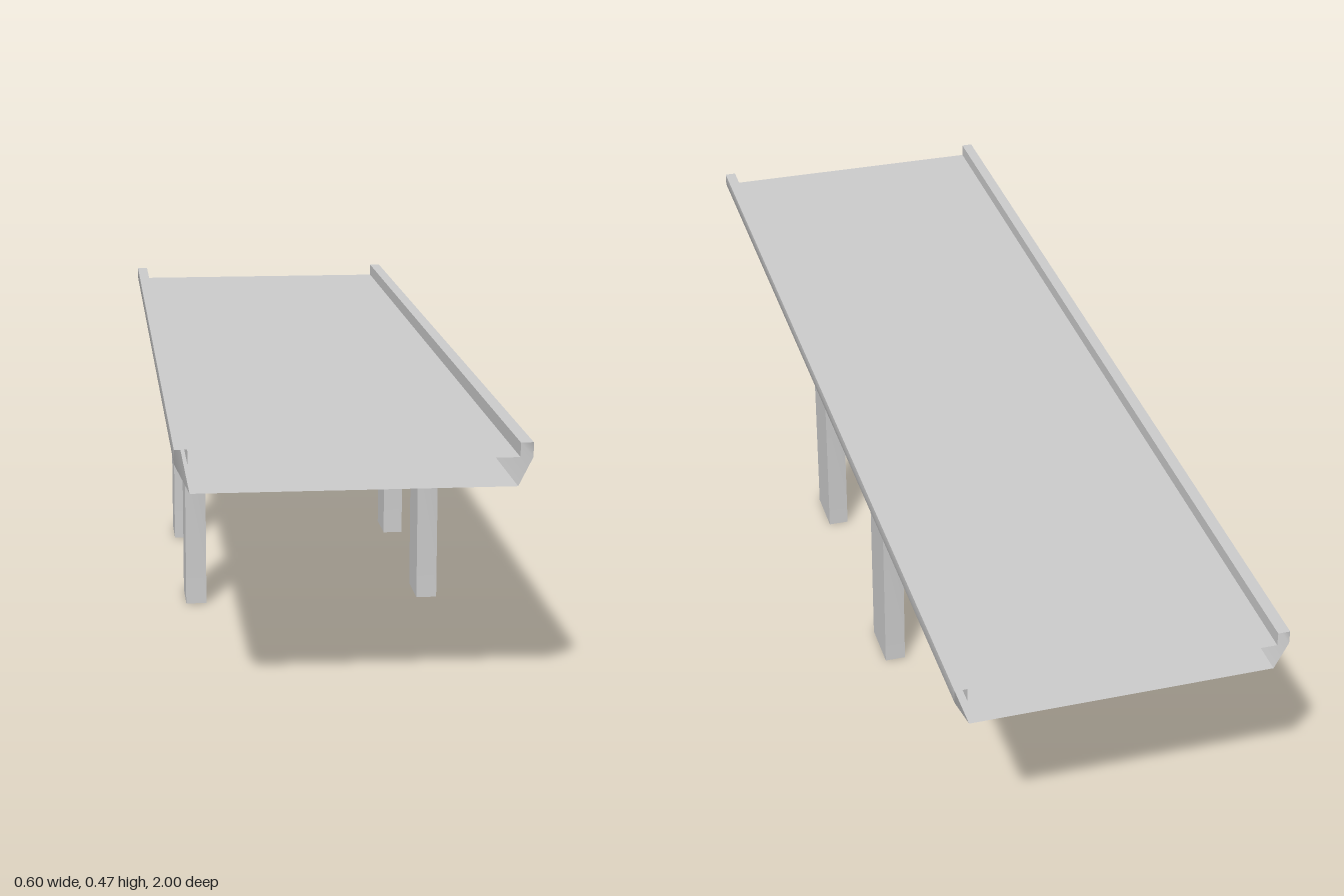
import * as THREE from 'three';

const material = new THREE.MeshStandardMaterial({ color: 0xcccccc, side: THREE.DoubleSide });

// Open band: sweeps a 2D polyline along its local z; normals are smooth along the line.
// Travelling counter-clockwise around a profile makes the band face outward.
function band(name, points, length) {
  const positions = [], index = [];
  points.forEach(([x, y], i) => {
    positions.push(x, y, length / 2, x, y, -length / 2);
    if (i > 0) {
      const a = (i - 1) * 2;
      index.push(a, a + 1, a + 2, a + 2, a + 1, a + 3);
    }
  });
  const geometry = new THREE.BufferGeometry();
  geometry.setAttribute('position', new THREE.Float32BufferAttribute(positions, 3));
  geometry.setIndex(index);
  geometry.computeVertexNormals();
  const mesh = new THREE.Mesh(geometry, material);
  mesh.name = name;
  return mesh;
}

// Mirrors a polyline in x, keeping its counter-clockwise direction
const mirror = (points) => points.map(([x, y]) => [-x, y]).reverse();

// Hollow deck with raised curbs and open ends
function createDeck() {
  const deck = new THREE.Group();
  deck.name = 'deck';
  const length = 2;
  const outer = [[0.275, 0.4], [0.3, 0.45], [0.3, 0.475]];
  const curbTop = [[0.3, 0.475], [0.278, 0.475]];
  const curbInside = [[0.278, 0.475], [0.278, 0.45]];
  deck.add(band('deckUnderside', [[-0.275, 0.4], [0.275, 0.4]], length));
  deck.add(band('deckSurface', [[0.278, 0.45], [-0.278, 0.45]], length));
  for (const [side, f] of [['left', (p) => p], ['right', mirror]]) {
    deck.add(band(side + 'OuterSide', f(outer), length));
    deck.add(band(side + 'CurbTop', f(curbTop), length));
    deck.add(band(side + 'CurbInside', f(curbInside), length));
  }
  return deck;
}

// Flared leg with a notched top and an open foot
function createLeg(name) {
  const leg = new THREE.Group();
  leg.name = name;
  const width = 0.04;
  const edge = [[0.05, 0], [0.05, 0.31], [0.067, 0.383]];
  const collar = [[0.067, 0.383], [0.067, 0.408]];
  const notch = [
    [0.067, 0.408], [0.033, 0.408], [0.033, 0.385], [0.006, 0.385], [0.006, 0.408],
    [-0.006, 0.408], [-0.006, 0.385], [-0.033, 0.385], [-0.033, 0.408], [-0.067, 0.408],
  ];
  for (const f of [(p) => p, mirror]) {
    leg.add(band('legEdge', f(edge), width));
    leg.add(band('legCollar', f(collar), width));
  }
  for (let i = 1; i < notch.length; i++) {
    leg.add(band('legNotch', [notch[i - 1], notch[i]], width));
  }
  // Flat cheeks on both sides
  const outline = [...edge, ...notch, ...mirror(edge)].map(([x, y]) => new THREE.Vector2(x, y));
  const cheek = new THREE.ShapeGeometry(new THREE.Shape(outline));
  for (const s of [1, -1]) {
    const mesh = new THREE.Mesh(cheek, material);
    mesh.name = 'legCheek';
    mesh.position.z = s * width / 2;
    if (s < 0) mesh.rotation.y = Math.PI;
    leg.add(mesh);
  }
  leg.rotation.y = Math.PI / 2;
  return leg;
}

export function createModel() {
  const model = new THREE.Group();
  model.name = 'raisedDeck';
  model.add(createDeck());
  for (const x of [-0.23, 0.23]) {
    for (const z of [-0.25, 0.25]) {
      const leg = createLeg((z > 0 ? 'front' : 'back') + (x > 0 ? 'Left' : 'Right') + 'Leg');
      leg.position.set(x, 0, z);
      model.add(leg);
    }
  }
  return model;
}
